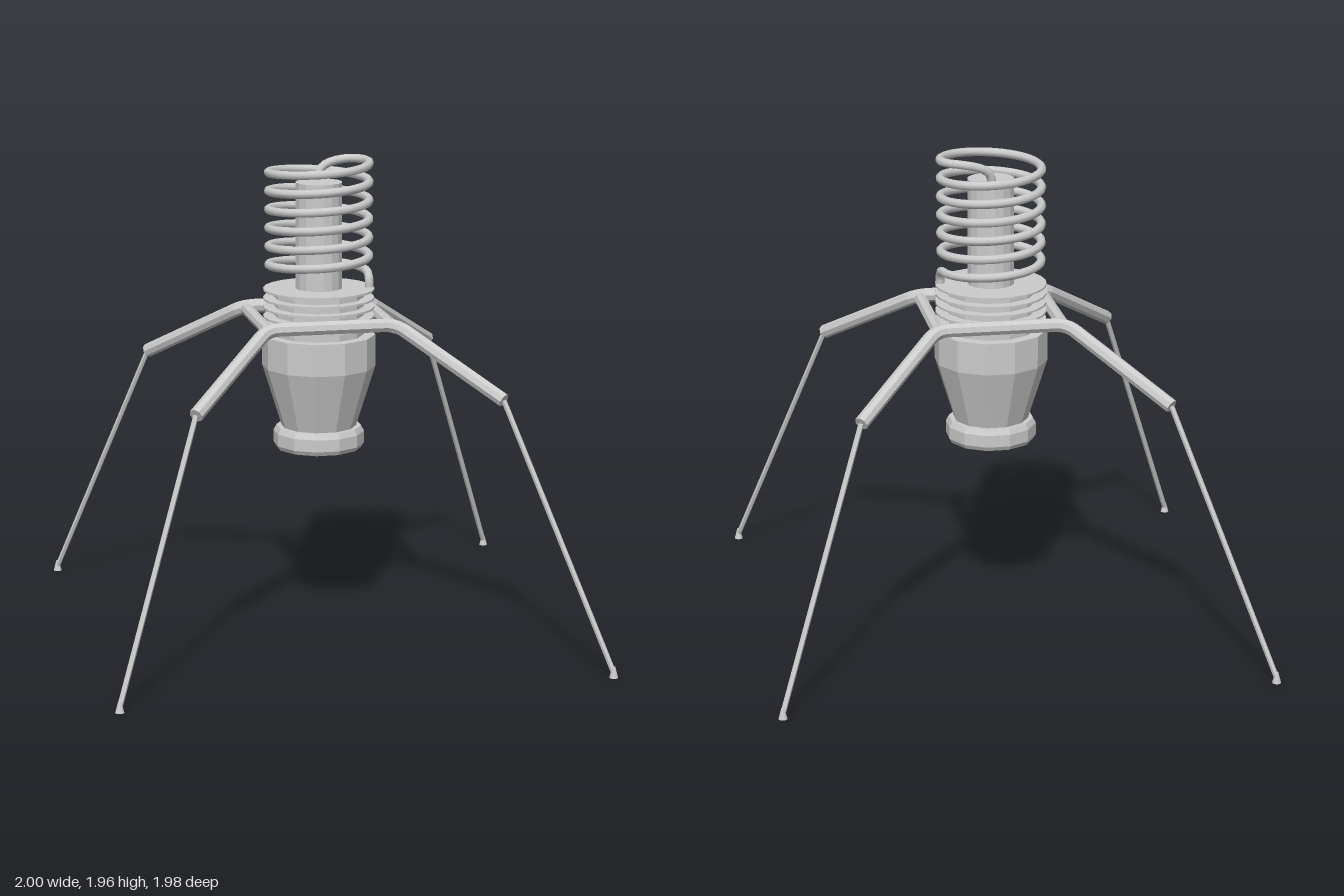
import * as THREE from 'three';

const flat = new THREE.MeshStandardMaterial({ color: 0xcccccc, flatShading: true, side: THREE.DoubleSide });
const smooth = new THREE.MeshStandardMaterial({ color: 0xcccccc, side: THREE.DoubleSide });
const V = (x, y, z) => new THREE.Vector3(x, y, z);

export function createModel() {
  const model = new THREE.Group();
  const add = (name, geometry, material = flat) => {
    const mesh = new THREE.Mesh(geometry, material);
    mesh.name = name;
    model.add(mesh);
    return mesh;
  };
  // closed straight rod between two points
  const rod = (name, a, b, r, sides = 8) => {
    const mesh = add(name, new THREE.CylinderGeometry(r, r, a.distanceTo(b), sides));
    mesh.position.copy(a).lerp(b, 0.5);
    mesh.quaternion.setFromUnitVectors(V(0, 1, 0), b.clone().sub(a).normalize());
  };
  // turned part with 12 flat sides, faces turned to the front
  const turned = (name, profile) => add(name, new THREE.LatheGeometry(
    profile.map(([r, y]) => new THREE.Vector2(r, y)), 12, Math.PI / 12));

  // Central body
  turned('base', [[0, 0.757], [0.177, 0.757], [0.187, 0.775], [0.187, 0.825], [0.175, 0.848], [0, 0.848]]);
  turned('housing', [[0, 0.84], [0.152, 0.84], [0.233, 1.1], [0.233, 1.232], [0, 1.232]]);
  turned('neck', [[0.185, 1.23], [0.185, 1.42], [0, 1.42]]);
  const core = add('core', new THREE.CylinderGeometry(0.096, 0.096, 0.44, 16));
  core.position.y = 1.64;

  // Cooling fins
  for (let i = 0; i < 5; i++) {
    const fin = add('coolingFin', new THREE.CylinderGeometry(0.228, 0.228, 0.008, 24));
    fin.position.y = 1.42 - i * 0.0375;
  }

  // Coil: rises from the neck, winds six turns, hooks back into the core
  const path = [V(0.205, 1.41, 0.03), V(0.205, 1.455, 0.028), V(0.205, 1.48, 0.005)];
  const turns = 6, steps = 16;
  for (let i = 1; i <= turns * steps; i++) {
    const a = i / steps * Math.PI * 2;
    path.push(V(Math.cos(a) * 0.205, 1.485 + 0.455 * i / (turns * steps), -Math.sin(a) * 0.205));
  }
  path.push(V(0.185, 1.942, -0.05), V(0.13, 1.94, -0.082), V(0.06, 1.925, -0.085),
    V(0.02, 1.9, -0.075), V(0.005, 1.85, -0.065));
  add('coil', new THREE.TubeGeometry(new THREE.CatmullRomCurve3(path), 300, 0.018, 8), smooth);

  // Frame: a bent tube at front and back forms the bar and two arms
  for (const s of [1, -1]) {
    const elbowL = V(-0.265, 1.308, 0.255 * s), elbowR = V(0.265, 1.308, 0.255 * s);
    const endL = V(-0.617, 1.06, 0.615 * s), endR = V(0.617, 1.06, 0.615 * s);
    const bend = 0.05;
    const toward = (from, to) => from.clone().add(to.clone().sub(from).setLength(bend));
    const curve = new THREE.CurvePath();
    const l1 = toward(elbowL, endL), l2 = toward(elbowL, elbowR);
    const r1 = toward(elbowR, elbowL), r2 = toward(elbowR, endR);
    curve.add(new THREE.LineCurve3(endL, l1));
    curve.add(new THREE.QuadraticBezierCurve3(l1, elbowL, l2));
    curve.add(new THREE.LineCurve3(l2, r1));
    curve.add(new THREE.QuadraticBezierCurve3(r1, elbowR, r2));
    curve.add(new THREE.LineCurve3(r2, endR));
    add('armTube', new THREE.TubeGeometry(curve, 72, 0.029, 8));

    for (const [end, elbow, x] of [[endL, elbowL, -1], [endR, elbowR, 1]]) {
      // closed end of the arm, thin leg and cone foot
      rod('armEnd', end, end.clone().lerp(elbow, 0.02), 0.029);
      rod('leg', end, V(0.982 * x, 0.02, 0.97 * s), 0.011, 6);
      const foot = add('foot', new THREE.CylinderGeometry(0.006, 0.018, 0.045, 10));
      foot.position.set(0.982 * x, 0.0225, 0.97 * s);
    }
  }
  // Side bars join the two bent tubes
  for (const x of [-0.255, 0.255]) rod('sideBar', V(x, 1.298, -0.25), V(x, 1.298, 0.25), 0.026);

  return model;
}
